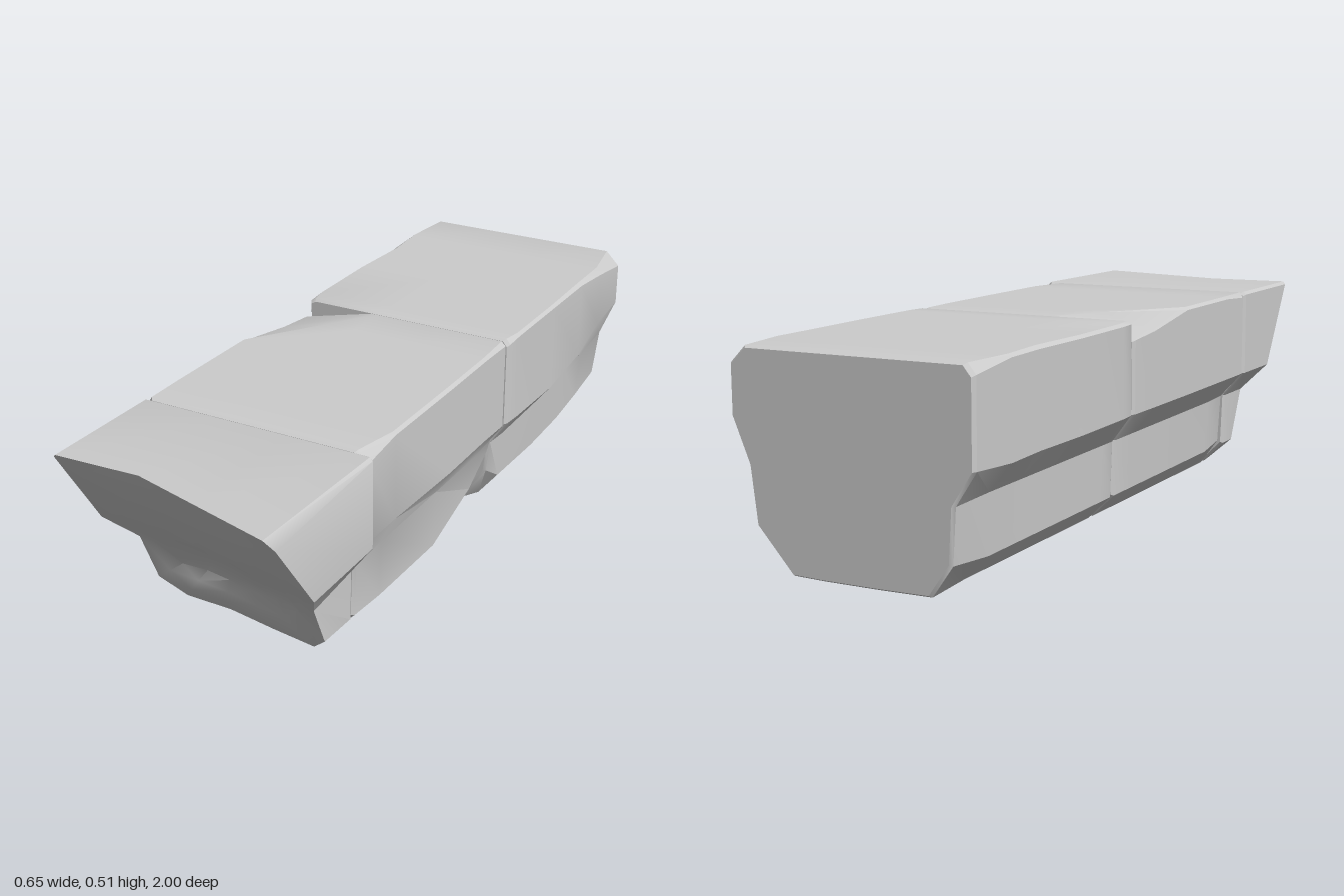
import * as THREE from 'three';
import { toCreasedNormals } from 'three/addons/utils/BufferGeometryUtils.js';

const TOP = 0.518, MID = 0.27;

// One flank of the beam, listed from the underside up to the top face.
// w: half width, ti/td: top edge chip (in/down), ly: underside of the overhang,
// ux/uy: foot of the overhang, cx/cy: top of the lower chamfer, bx/by: its foot.
const flank = (o = {}) => {
  const p = { w: 0.32, ti: 0.008, td: 0.008, ly: 0.28, ux: 0.265, uy: 0.21, cx: 0.26, cy: 0.065, bx: 0.2, by: 0.005, ...o };
  return [[0.07, 0.003], [p.bx, p.by], [p.cx, p.cy], [p.ux, p.uy], [p.w, p.ly], [p.w, TOP - p.td], [p.w - p.ti, TOP], [0.09, TOP]];
};

// Closed cross-section, counter-clockwise seen from the front.
const section = (z, left, right) => [
  ...flank(left).map(([x, y]) => [x, y, z]),
  ...flank(right).reverse().map(([x, y]) => [-x, y, z]),
];

const shrink = (ring, s, dz = 0) => ring.map(([x, y, z]) => [x * s, MID + (y - MID) * s, z + dz]);

// Skin a list of rings whose first and last collapse to a point.
function loft(rings) {
  const pos = [], n = rings[0].length, last = rings.length - 2;
  for (let i = 0; i <= last; i++) {
    for (let j = 0; j < n; j++) {
      const k = (j + 1) % n;
      const a = rings[i][j], b = rings[i][k], c = rings[i + 1][k], d = rings[i + 1][j];
      if (i > 0) pos.push(...a, ...b, ...c);
      if (i < last) pos.push(...a, ...c, ...d);
    }
  }
  const g = new THREE.BufferGeometry();
  g.setAttribute('position', new THREE.Float32BufferAttribute(pos, 3));
  return toCreasedNormals(g, 0.5);
}

// Linear interpolation through [key, value] pairs.
function ramp(table, t) {
  for (let i = 1; i < table.length; i++) {
    const [a, va] = table[i - 1], [b, vb] = table[i];
    if (t <= b) return va + (vb - va) * Math.max(0, (t - a) / (b - a));
  }
  return table[table.length - 1][1];
}

// Raking, uneven broken face of the front block.
const breakHeight = [[0.005, 0.65], [0.06, 0.69], [0.13, 0.7], [0.2, 0.75], [0.28, 0.83], [0.4, 0.92], [0.518, 1]];
const breakWidth = [[-0.32, -0.095], [-0.22, -0.095], [-0.09, -0.107], [0.31, 0]];
const fracture = ring => ring.map(([x, y]) =>
  [x, y, ramp(breakHeight, y) + ramp(breakWidth, x) * (0.6 + 0.4 * y / TOP)]);

export function createModel() {
  const group = new THREE.Group();
  const stone = new THREE.MeshStandardMaterial({ color: 0xcccccc });

  // rims: narrow worn bevels around the flat ends
  const addBlock = (name, sections, brokenFront = false) => {
    const first = sections[0], end = sections[sections.length - 1];
    const back = [shrink(first, 0, -0.01), shrink(first, 0.98, -0.01)];
    const front = brokenFront
      ? [0.85, 0.7, 0.55, 0.4, 0.2, 0].map(s => fracture(shrink(end, s)))
      : [shrink(end, 0.98, 0.01), shrink(end, 0, 0.01)];
    const body = brokenFront ? [...sections.slice(0, -1), fracture(end)] : sections;
    const mesh = new THREE.Mesh(loft([...back, ...body, ...front]), stone);
    mesh.name = name;
    group.add(mesh);
  };

  // rear block: blunt worn end, overhang along the left flank
  addBlock('rearBlock', [
    section(-0.99,
      { w: 0.308, ti: 0.04, td: 0.04, ly: 0.36, ux: 0.262, uy: 0.25, cx: 0.245, cy: 0.11, bx: 0.15 },
      { w: 0.322, ti: 0.02, td: 0.025, ly: 0.29, ux: 0.27, uy: 0.21, cx: 0.262, cy: 0.08, bx: 0.21 }),
    section(-0.84,
      { w: 0.31, ti: 0.015, td: 0.02, ly: 0.34, ux: 0.262, uy: 0.23, cx: 0.25, cy: 0.09, bx: 0.17 },
      { w: 0.322, ux: 0.265 }),
    section(-0.7,
      { w: 0.308, ti: 0.012, ly: 0.29, ux: 0.258, uy: 0.255, cx: 0.25, cy: 0.07, bx: 0.19 },
      { w: 0.316, ti: 0.012 }),
    section(-0.5,
      { w: 0.308, ly: 0.265, ux: 0.262, uy: 0.207, cx: 0.257, cy: 0.07 },
      { w: 0.322 }),
    section(-0.27,
      { w: 0.308, ly: 0.27, ux: 0.265, uy: 0.207, cx: 0.257, cy: 0.075 },
      { w: 0.32 }),
    section(-0.217,
      { w: 0.304, ti: 0.012, td: 0.015, ly: 0.27, ux: 0.255, uy: 0.2, cx: 0.245, cy: 0.11, bx: 0.17 },
      { w: 0.316, ti: 0.015 }),
  ]);

  // middle block: large chip on the rear right top corner, spalled underside on the left
  addBlock('middleBlock', [
    section(-0.195,
      { w: 0.3, ti: 0.012, td: 0.012, ly: 0.27, ux: 0.265, uy: 0.22, cx: 0.255, cy: 0.18, bx: 0.165 },
      { w: 0.318, ti: 0.21, td: 0.05 }),
    section(-0.08,
      { w: 0.302, ly: 0.275, cx: 0.26, cy: 0.12, bx: 0.175 },
      { w: 0.32, ti: 0.15, td: 0.04 }),
    section(0.13,
      { w: 0.304, ly: 0.275, cy: 0.05, bx: 0.195 },
      { w: 0.322 }),
    section(0.42,
      { w: 0.304, ly: 0.285, cy: 0.055 },
      { w: 0.322 }),
    section(0.542,
      { w: 0.3, ti: 0.028, td: 0.03 },
      { w: 0.322, ti: 0.01, td: 0.015, ux: 0.258, cx: 0.25, cy: 0.075 }),
  ]);

  // front block: snapped off along a raking break
  addBlock('frontBlock', [
    section(0.563, { w: 0.322, ux: 0.263, uy: 0.2 }, { w: 0.324 }),
    section(0.7,
      { w: 0.324, ti: 0.018, td: 0.032, ux: 0.255, uy: 0.175, cy: 0.07, by: 0.008 },
      { w: 0.325, by: 0.008 }),
  ], true);

  return group;
}
